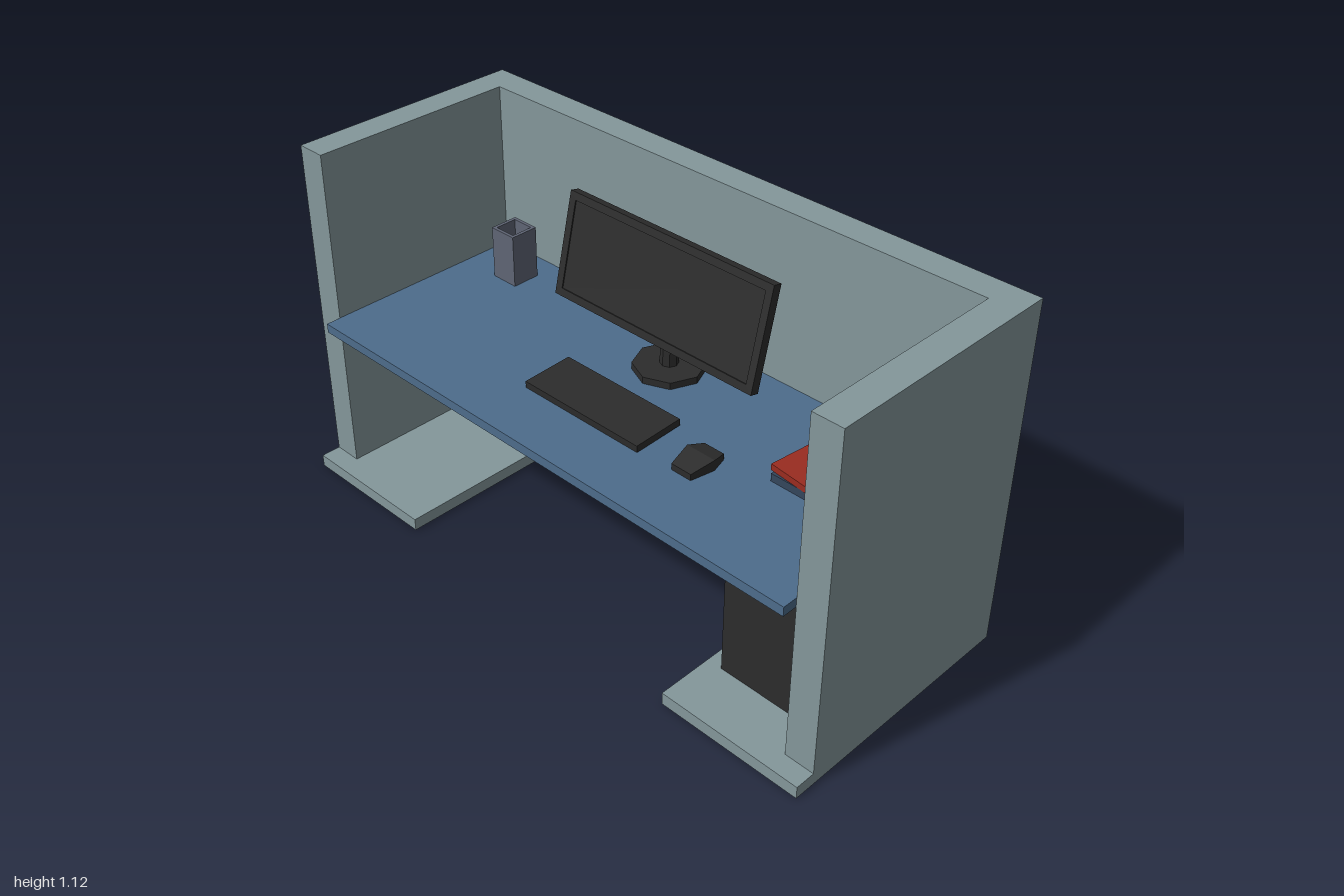
import * as THREE from 'three';

const mat = (color) => new THREE.MeshStandardMaterial({ color, flatShading: true });
const WALL = mat(0x84979b), DESK = mat(0x4d6c8b), DARK = mat(0x2c2c2c);
const RED = mat(0x9a2c20), NAVY = mat(0x35465c), HOLDER = mat(0x5f6575);
const DESK_TOP = 0.575;

function add(parent, name, geometry, material, x = 0, y = 0, z = 0) {
  const mesh = new THREE.Mesh(geometry, material);
  mesh.name = name;
  mesh.position.set(x, y, z);
  parent.add(mesh);
  return mesh;
}

// Box given by its extents on each axis
function block(parent, name, material, [x0, x1], [y0, y1], [z0, z1]) {
  return add(parent, name, new THREE.BoxGeometry(x1 - x0, y1 - y0, z1 - z0), material,
    (x0 + x1) / 2, (y0 + y1) / 2, (z0 + z1) / 2);
}

function rect(Type, w, h) {
  return new Type([[-w, -h], [w, -h], [w, h], [-w, h]].map(([x, y]) => new THREE.Vector2(x / 2, y / 2)));
}

// Rectangular frame or tube, extruded along +z
function frame(w, h, border, depth) {
  const shape = rect(THREE.Shape, w, h);
  shape.holes.push(rect(THREE.Path, w - 2 * border, h - 2 * border));
  return new THREE.ExtrudeGeometry(shape, { depth, bevelEnabled: false });
}

function createMonitor() {
  const g = new THREE.Group();
  g.name = 'monitor';
  add(g, 'monitorBase', new THREE.CylinderGeometry(0.11, 0.11, 0.022, 8), DARK, 0, DESK_TOP + 0.011, -0.15);
  add(g, 'monitorNeck', new THREE.CylinderGeometry(0.028, 0.028, 0.29, 8), DARK, 0, DESK_TOP + 0.145, -0.15);
  // Panel leans back, with the screen set slightly behind its bezel
  const panel = new THREE.Group();
  panel.name = 'monitorPanel';
  panel.position.set(0, 0.86, -0.113);
  panel.rotation.x = -0.23;
  add(panel, 'bezel', frame(0.77, 0.322, 0.024, 0.01), DARK, 0, 0, 0.005);
  block(panel, 'monitorBack', DARK, [-0.385, 0.385], [-0.161, 0.161], [-0.015, 0.005]);
  block(panel, 'screen', DARK, [-0.361, 0.361], [-0.137, 0.137], [0.004, 0.011]);
  g.add(panel);
  return g;
}

// Mouse: widest and highest across its middle row
function mouseGeometry() {
  const geo = new THREE.BoxGeometry(0.07, 0.02, 0.13, 1, 1, 2);
  const p = geo.attributes.position;
  for (let i = 0; i < p.count; i++) {
    if (Math.abs(p.getZ(i)) > 0.01) continue;
    p.setX(i, Math.sign(p.getX(i)) * 0.05);
    p.setZ(i, -0.012);
    if (p.getY(i) > 0) p.setY(i, 0.024);
  }
  geo.computeVertexNormals();
  return geo;
}

export function createModel() {
  const root = new THREE.Group();
  root.name = 'officeCubicle';

  // U-shaped partition wall
  const outline = [[-1, -0.355], [-0.905, -0.355], [-0.905, 0.325], [0.905, 0.325],
    [0.905, -0.355], [1, -0.355], [1, 0.42], [-1, 0.42]];
  const wall = new THREE.ExtrudeGeometry(
    new THREE.Shape(outline.map(([x, y]) => new THREE.Vector2(x, y))), { depth: 1.12, bevelEnabled: false });
  wall.rotateX(-Math.PI / 2);
  add(root, 'partitionWall', wall, WALL);

  // Floor feet
  for (const s of [-1, 1]) {
    add(root, s < 0 ? 'rightFoot' : 'leftFoot', new THREE.BoxGeometry(0.473, 0.04, 0.64), WALL, s * 0.7635, 0.02, 0.10);
  }

  block(root, 'deskTop', DESK, [-0.905, 0.905], [0.545, DESK_TOP], [-0.325, 0.403]);
  block(root, 'computerTower', DARK, [0.577, 0.823], [0.04, 0.477], [-0.2, 0.238]);
  root.add(createMonitor());

  const keyboard = add(root, 'keyboard', new THREE.BoxGeometry(0.445, 0.022, 0.168), DARK, 0, DESK_TOP + 0.0135, 0.125);
  keyboard.rotation.x = 0.035;
  add(root, 'mouse', mouseGeometry(), DARK, 0.375, DESK_TOP + 0.01, 0.133);

  // Stacked books
  block(root, 'lowerBook', NAVY, [0.56, 0.745], [DESK_TOP, 0.6], [-0.205, 0.05]);
  const book = add(root, 'upperBook', new THREE.BoxGeometry(0.182, 0.02, 0.255), RED, 0.654, 0.61, -0.078);
  book.rotation.y = -0.11;

  // Hollow square pen holder
  const tube = frame(0.096, 0.096, 0.011, 0.173);
  tube.rotateX(-Math.PI / 2);
  add(root, 'penHolder', tube, HOLDER, -0.716, DESK_TOP, -0.195);
  block(root, 'penHolderFloor', HOLDER, [-0.753, -0.679], [DESK_TOP, 0.59], [-0.232, -0.158]);

  return root;
}
